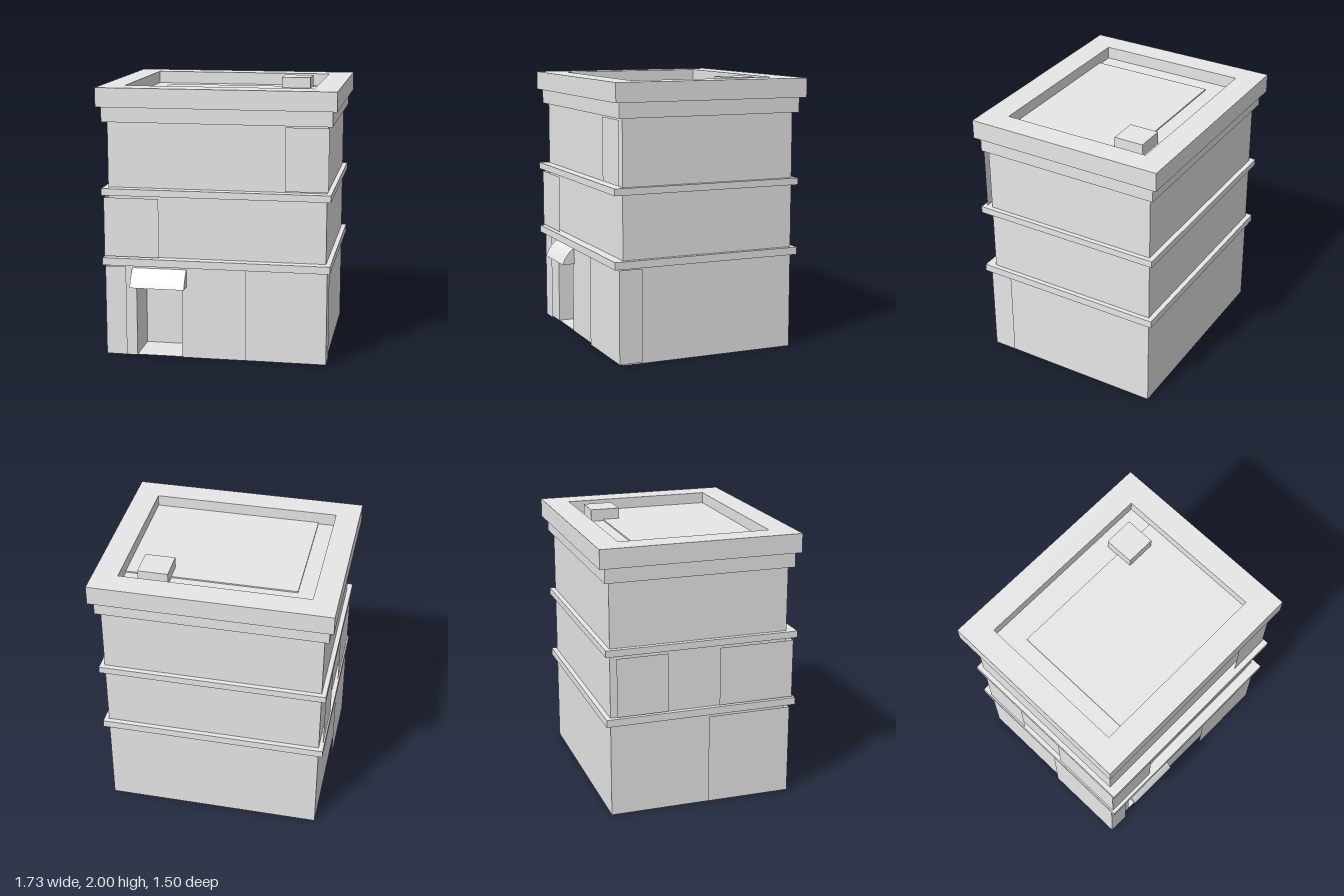
import * as THREE from 'three';

const plaster = new THREE.MeshStandardMaterial({ color: 0xe7e7e7, side: THREE.DoubleSide });
plaster.name = 'plaster';

// Upright sheet following a floor-plan path of [x, z] points
function wallStrip(path, y0, y1) {
  const pos = [];
  for (let i = 0; i < path.length - 1; i++) {
    const [ax, az] = path[i], [bx, bz] = path[i + 1];
    pos.push(ax, y0, az, bx, y0, bz, bx, y1, bz, ax, y0, az, bx, y1, bz, ax, y1, az);
  }
  const g = new THREE.BufferGeometry();
  g.setAttribute('position', new THREE.Float32BufferAttribute(pos, 3));
  g.computeVertexNormals();
  return g;
}

// Box given by its limits on each axis
function block(x0, x1, y0, y1, z0, z1) {
  return new THREE.BoxGeometry(x1 - x0, y1 - y0, z1 - z0)
    .translate((x0 + x1) / 2, (y0 + y1) / 2, (z0 + z1) / 2);
}

// Horizontal sheet
function sheet(x0, x1, y, z0, z1) {
  return new THREE.PlaneGeometry(x1 - x0, z1 - z0).rotateX(-Math.PI / 2)
    .translate((x0 + x1) / 2, y, (z0 + z1) / 2);
}

export function createModel() {
  const model = new THREE.Group();
  model.name = 'building';
  const add = (name, geometry) => {
    const mesh = new THREE.Mesh(geometry, plaster);
    mesh.name = name;
    model.add(mesh);
  };

  // Ground floor: hollow, open below, with a recessed doorway
  const L = -0.8, R = 0.797, F = 0.657, B = -0.673;
  const doorL = -0.6, doorR = -0.26, doorTop = 0.65, doorBack = 0.345;
  add('groundFloorWalls', wallStrip([[doorR, F], [R, F], [R, B], [L, B], [L, F], [doorL, F]], 0, 0.7));
  add('doorRecess', wallStrip([[doorL, F], [doorL, doorBack], [doorR, doorBack], [doorR, F]], 0, doorTop));
  add('doorLintel', wallStrip([[doorL, F], [doorR, F]], doorTop, 0.7));
  add('doorRecessFloor', sheet(doorL, doorR, 0.004, doorBack, F));
  add('doorRecessCeiling', sheet(doorL, doorR, doorTop, doorBack, F));

  // Upper floors and the ledges between them
  add('upperFloors', block(L, R, 0.7, 1.8, B, F));
  add('lowerLedge', block(-0.835, 0.832, 0.7, 0.755, -0.71, 0.73));
  add('upperLedge', block(-0.835, 0.832, 1.22, 1.27, -0.71, 0.73));
  add('cornice', block(-0.835, 0.832, 1.75, 1.86, -0.71, 0.695));

  // Parapet ring around the sunken roof
  const ring = new THREE.Shape([[-0.867, -0.73], [0.865, -0.73], [0.865, 0.752], [-0.867, 0.752]]
    .map(p => new THREE.Vector2(...p)));
  ring.holes.push(new THREE.Path([[-0.69, -0.545], [-0.69, 0.57], [0.685, 0.57], [0.685, -0.545]]
    .map(p => new THREE.Vector2(...p))));
  add('parapet', new THREE.ExtrudeGeometry(ring, { depth: 0.14, bevelEnabled: false })
    .rotateX(-Math.PI / 2).translate(0, 1.86, 0));
  add('roofFloor', block(-0.69, 0.685, 1.86, 1.908, -0.57, 0.545));
  add('roofPlatform', block(-0.56, 0.685, 1.9, 1.918, -0.385, 0.545));
  add('roofHatch', block(0.35, 0.57, 1.9, 1.998, -0.48, -0.26));

  // Thin facing panels standing just off the walls
  const panels = [
    ['groundPanelLeft', [[0.22, 0.69], [0.81, 0.69], [0.81, 0.515]], 0.012, 0.69],
    ['groundPanelRight', [[-0.825, 0.06], [-0.825, 0.69], [-0.67, 0.69]], 0.012, 0.683],
    ['middleCornerPanel', [[-0.825, 0.14], [-0.825, 0.705], [-0.418, 0.705]], 0.763, 1.2],
    ['middleSidePanel', [[-0.825, -0.63], [-0.825, -0.25]], 0.763, 1.2],
    ['topPanel', [[0.5, 0.69], [0.81, 0.69]], 1.282, 1.74],
  ];
  for (const [name, path, y0, y1] of panels) add(name, wallStrip(path, y0, y1));

  // Curved awning over the door, with closed ends
  const profile = [[F, 0.67], [0.695, 0.636], [0.733, 0.585], [0.753, 0.54]];
  const x0 = -0.63, x1 = -0.225;
  const canopy = new THREE.PlaneGeometry(x1 - x0, 1, 1, profile.length - 1);
  const p = canopy.attributes.position;
  for (let i = 0; i < p.count; i++) {
    const [z, y] = profile[Math.floor(i / 2)];
    p.setXYZ(i, i % 2 ? x1 : x0, y, z);
  }
  canopy.computeVertexNormals();
  add('awningCanopy', canopy);
  const side = new THREE.Shape([...profile, [F, 0.54]].map(([z, y]) => new THREE.Vector2(-z, y)));
  for (const [name, x] of [['awningRightEnd', x0], ['awningLeftEnd', x1]]) {
    add(name, new THREE.ShapeGeometry(side).rotateY(Math.PI / 2).translate(x, 0, 0));
  }
  return model;
}
